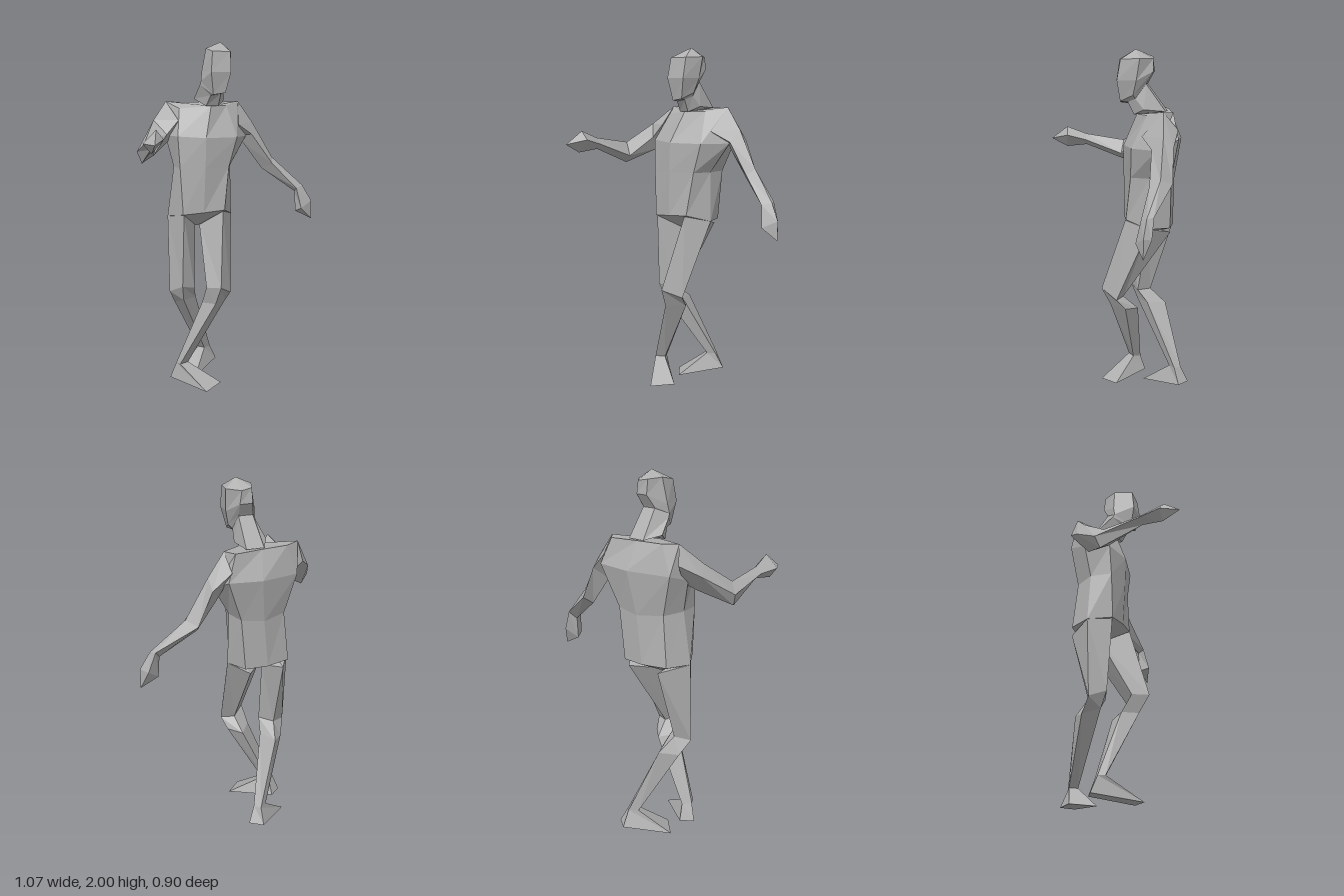
import * as THREE from 'three';

const grey = new THREE.MeshStandardMaterial({ color: 0xb0b0b0 });
grey.name = 'plain grey';

// Faceted skin over a list of rings; a ring of one point closes to a tip.
function loft(name, rings) {
  const tris = [];
  const add = (a, b, c) => {
    if (a !== b && b !== c && a !== c) tris.push([a, b, c]);
  };
  for (let r = 0; r < rings.length - 1; r++) {
    const a = rings[r], b = rings[r + 1];
    const n = Math.max(a.length, b.length);
    for (let i = 0; i < n; i++) {
      const j = i + 1;
      const a0 = a[i % a.length], a1 = a[j % a.length];
      const b0 = b[i % b.length], b1 = b[j % b.length];
      add(a0, a1, b1);
      add(a0, b1, b0);
    }
  }
  // end caps
  const first = rings[0], last = rings[rings.length - 1];
  for (let i = 1; i < first.length - 1; i++) add(first[0], first[i + 1], first[i]);
  for (let i = 1; i < last.length - 1; i++) add(last[0], last[i], last[i + 1]);

  // turn all faces outward whichever way the rings run
  let volume = 0;
  const [u, v, w] = [new THREE.Vector3(), new THREE.Vector3(), new THREE.Vector3()];
  for (const [a, b, c] of tris) volume += u.fromArray(a).dot(v.fromArray(b).cross(w.fromArray(c)));
  const points = tris.flatMap(([a, b, c]) => (volume < 0 ? [a, c, b] : [a, b, c])).flat();

  const geometry = new THREE.BufferGeometry();
  geometry.setAttribute('position', new THREE.Float32BufferAttribute(points, 3));
  geometry.computeVertexNormals();
  const mesh = new THREE.Mesh(geometry, grey);
  mesh.name = name;
  return mesh;
}

// Rings run front, left, back, right
const torso = [
  [[-0.18, 0.935, -0.2]],
  [[-0.155, 1.03, -0.055], [-0.03, 1.04, -0.08], [0.03, 1.0, -0.22], [-0.03, 1.0, -0.335],
    [-0.16, 1.0, -0.34], [-0.3, 1.0, -0.3], [-0.355, 1.0, -0.17], [-0.275, 1.02, -0.055]],
  [[-0.145, 1.29, -0.05], [0, 1.29, -0.11], [0.025, 1.29, -0.22], [0, 1.29, -0.34],
    [-0.13, 1.27, -0.345], [-0.27, 1.28, -0.29], [-0.315, 1.29, -0.18], [-0.29, 1.29, -0.06]],
  [[-0.14, 1.46, -0.05], [0.05, 1.46, -0.12], [0.13, 1.46, -0.27], [0.09, 1.52, -0.385],
    [-0.1, 1.51, -0.385], [-0.33, 1.5, -0.31], [-0.36, 1.47, -0.2], [-0.3, 1.47, -0.07]],
  [[-0.1, 1.64, -0.13], [0, 1.64, -0.2], [0.085, 1.665, -0.3], [0.04, 1.66, -0.35],
    [-0.12, 1.66, -0.32], [-0.27, 1.66, -0.3], [-0.35, 1.665, -0.26], [-0.28, 1.625, -0.17]],
];

// Neck base, jaw, cheek, brow, crown
const head = [
  [[-0.06, 1.64, -0.12], [-0.02, 1.67, -0.18], [-0.04, 1.66, -0.3], [-0.14, 1.66, -0.3], [-0.19, 1.68, -0.21], [-0.13, 1.64, -0.12]],
  [[-0.05, 1.71, -0.085], [-0.03, 1.73, -0.13], [-0.04, 1.81, -0.19], [-0.12, 1.81, -0.19], [-0.165, 1.76, -0.13], [-0.11, 1.7, -0.08]],
  [[-0.03, 1.715, -0.045], [-0.01, 1.75, -0.12], [-0.04, 1.82, -0.195], [-0.12, 1.82, -0.195], [-0.16, 1.78, -0.12], [-0.1, 1.705, -0.04]],
  [[0, 1.83, -0.03], [0.012, 1.83, -0.14], [-0.03, 1.88, -0.23], [-0.1, 1.88, -0.23], [-0.155, 1.83, -0.13], [-0.115, 1.83, -0.012]],
  [[0, 1.945, -0.05], [0.02, 1.95, -0.16], [-0.04, 1.95, -0.23], [-0.1, 1.96, -0.22], [-0.128, 1.965, -0.14], [-0.105, 1.945, -0.03]],
  [[-0.045, 2, -0.13]],
];

// Thigh, knee, calf, ankle, sole
const leftLeg = [
  [[-0.04, 1.035, -0.075], [0.03, 1.0, -0.22], [-0.06, 0.97, -0.335], [-0.165, 0.94, -0.19]],
  [[-0.075, 0.61, 0.07], [-0.005, 0.56, -0.03], [-0.08, 0.565, -0.06], [-0.15, 0.6, 0]],
  [[-0.1, 0.505, 0.02], [-0.03, 0.5, -0.08], [-0.1, 0.49, -0.145], [-0.17, 0.5, -0.05]],
  [[-0.3, 0.125, -0.065], [-0.25, 0.125, -0.1], [-0.28, 0.12, -0.14], [-0.32, 0.125, -0.1]],
  [[-0.165, 0, 0.085], [-0.065, 0.015, -0.02], [-0.29, 0.03, -0.17], [-0.355, 0.03, -0.12]],
];
const rightLeg = [
  [[-0.27, 1.02, -0.06], [-0.19, 0.94, -0.19], [-0.26, 0.97, -0.325], [-0.355, 1.0, -0.17]],
  [[-0.28, 0.59, -0.08], [-0.205, 0.57, -0.13], [-0.27, 0.565, -0.2], [-0.35, 0.55, -0.15]],
  [[-0.27, 0.5, -0.12], [-0.19, 0.5, -0.19], [-0.24, 0.49, -0.295], [-0.315, 0.47, -0.21]],
  [[-0.12, 0.13, -0.335], [-0.08, 0.13, -0.37], [-0.11, 0.13, -0.405], [-0.155, 0.13, -0.37]],
  [[-0.2, 0, -0.17], [-0.04, 0.04, -0.4], [-0.11, 0.04, -0.45], [-0.31, 0, -0.27]],
];

// Shoulder, upper arm, elbow, wrist, hand, fingertips
const leftArm = [
  [[0.07, 1.53, -0.18], [0.085, 1.665, -0.3], [0.07, 1.57, -0.38], [0.1, 1.46, -0.29]],
  [[0.16, 1.47, -0.245], [0.175, 1.54, -0.31], [0.17, 1.48, -0.365], [0.115, 1.42, -0.3]],
  [[0.29, 1.29, -0.25], [0.3, 1.325, -0.31], [0.25, 1.3, -0.37], [0.235, 1.26, -0.31]],
  [[0.435, 1.14, -0.225], [0.48, 1.155, -0.26], [0.46, 1.16, -0.295], [0.43, 1.12, -0.26]],
  [[0.46, 1.02, -0.2], [0.535, 1.06, -0.25], [0.5, 1.05, -0.29], [0.435, 1.0, -0.25]],
  [[0.535, 0.95, -0.25]],
];
const rightArm = [
  [[-0.35, 1.665, -0.26], [-0.37, 1.56, -0.29], [-0.33, 1.45, -0.2], [-0.29, 1.56, -0.12]],
  [[-0.43, 1.56, -0.16], [-0.45, 1.5, -0.2], [-0.38, 1.41, -0.15], [-0.36, 1.48, -0.1]],
  [[-0.49, 1.45, 0], [-0.535, 1.39, -0.03], [-0.51, 1.325, -0.01], [-0.445, 1.37, 0.01]],
  [[-0.475, 1.485, 0.23], [-0.51, 1.45, 0.23], [-0.475, 1.42, 0.23], [-0.443, 1.45, 0.23]],
  [[-0.455, 1.53, 0.35], [-0.525, 1.46, 0.355], [-0.48, 1.405, 0.355], [-0.415, 1.48, 0.34]],
  [[-0.47, 1.455, 0.45]],
];

export function createModel() {
  const figure = new THREE.Group();
  figure.name = 'standing figure';
  const parts = { torso, head, leftLeg, rightLeg, leftArm, rightArm };
  for (const [name, rings] of Object.entries(parts)) figure.add(loft(name, rings));
  return figure;
}
